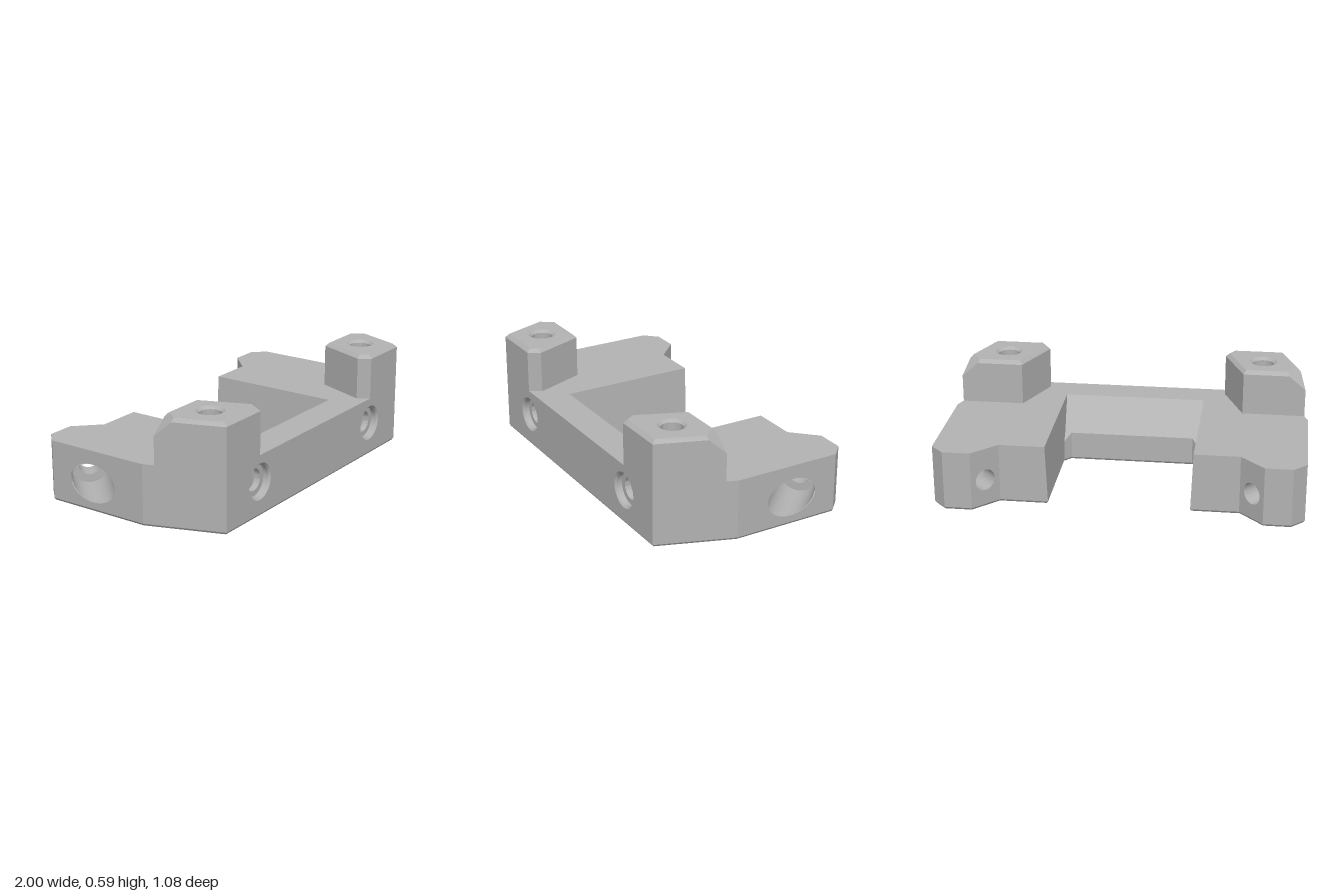
import * as THREE from 'three';
import { toCreasedNormals } from 'three/addons/utils/BufferGeometryUtils.js';

const TOP = 0.335, LIP = 0.012;
const grey = new THREE.MeshStandardMaterial({ color: 0xb2b2b2, side: THREE.DoubleSide });
grey.name = 'plain grey';

function add(parent, name, geometry) {
  const mesh = new THREE.Mesh(geometry, grey);
  mesh.name = name;
  parent.add(mesh);
  return mesh;
}

// Shape from 2D points with elliptical holes [x, y, rx, ry]
function outline(points, holes = []) {
  const shape = new THREE.Shape(points.map(p => new THREE.Vector2(p[0], p[1])));
  for (const [x, y, rx, ry = rx] of holes) {
    shape.holes.push(new THREE.Path().absellipse(x, y, rx, ry, 0, Math.PI * 2, true));
  }
  return shape;
}

// Flat horizontal face from [x, z] points
function cap(points, y, holes) {
  return new THREE.ShapeGeometry(outline(points, holes), 24).rotateX(Math.PI / 2).translate(0, y, 0);
}

// Upright wall from a to b ([x, z]); holes are [distance along, y, radii]
function wall(a, b, y0, y1, holes) {
  const u = new THREE.Vector3(b[0] - a[0], 0, b[1] - a[1]);
  const length = u.length();
  u.normalize();
  const up = new THREE.Vector3(0, 1, 0);
  const m = new THREE.Matrix4().makeBasis(u, up, u.clone().cross(up)).setPosition(a[0], 0, a[1]);
  const shape = outline([[0, y0], [length, y0], [length, y1], [0, y1]], holes);
  return new THREE.ShapeGeometry(shape, 24).applyMatrix4(m);
}

// Flat convex faces, each a list of [x, y, z] corners
function faces(list) {
  const pos = [];
  for (const f of list) {
    for (let i = 1; i < f.length - 1; i++) pos.push(...f[0], ...f[i], ...f[i + 1]);
  }
  const g = new THREE.BufferGeometry();
  g.setAttribute('position', new THREE.Float32BufferAttribute(pos, 3));
  g.computeVertexNormals();
  return g;
}

// Round bore from [radius, distance] points
function bore(profile) {
  return new THREE.LatheGeometry(profile.map(p => new THREE.Vector2(p[0], p[1])), 48);
}

// Shrinks a closed loop of [x, z] points by d
function inset(loop, d) {
  const n = loop.length;
  return loop.map((p, i) => {
    const [a, b] = [loop[(i + n - 1) % n], loop[(i + 1) % n]];
    const normal = (s, e) => {
      const l = Math.hypot(e[0] - s[0], e[1] - s[1]);
      return [(e[1] - s[1]) / l, -(e[0] - s[0]) / l];
    };
    const [n1, n2] = [normal(a, p), normal(p, b)];
    const k = d / (1 + n1[0] * n2[0] + n1[1] * n2[1]);
    return [p[0] + (n1[0] + n2[0]) * k, p[1] + (n1[1] + n2[1]) * k];
  });
}

const mirrored = half => [...half, ...half.map(([x, z]) => [-x, z]).reverse()];

const outer = [[0.85, 0.54], [1, 0.13], [1, -0.47], [0.93, -0.54], [0.78, -0.54], [0.65, -0.41]];
const postHole = [0.735, 0.36], boltX = 0.555, boltY = 0.19;
const slot = { x0: 0.455, x1: 0.655, z0: 0.425, z1: 0.465, top: 0.29 };

function buildSide() {
  const side = new THREE.Group();

  // Outer walls of the arm
  const wallHoles = { 1: [[0.33, 0.155, 0.148, 0.105]], 4: [[0.092, 0.155, 0.06]] };
  for (let i = 0; i < outer.length - 1; i++) {
    add(side, 'armWall', wall(outer[i], outer[i + 1], LIP, TOP, wallHoles[i]));
  }
  // Back end and drafted inner wall
  add(side, 'armInnerWall', faces([
    [[0.65, LIP, -0.41], [0.387, LIP, -0.41], [0.4, TOP, -0.41], [0.65, TOP, -0.41]],
    [[0.387, LIP, -0.41], [0.387, LIP, 0.36], [0.4, TOP, 0.36], [0.4, TOP, -0.41]],
  ]));
  // Corner fillet between arm and bar
  add(side, 'cornerFillet', faces([
    [[0.387, LIP, 0.15], [0.35, LIP, 0.19], [0.35, 0.165, 0.19], [0.387, 0.125, 0.15]],
    [[0.387, 0.125, 0.15], [0.35, 0.165, 0.19], [0.387, 0.165, 0.19]],
  ]));

  // Post with bevelled rim and a cut outer back corner
  const base = [[0.978, 0.19], [0.85, 0.54], [0.555, 0.54], [0.515, 0.475], [0.63, 0.19]];
  const rim = [[0.947, 0.275], ...base.slice(1), [0.885, 0.19]];
  const crown = [[0.928, 0.28], [0.836, 0.52], [0.566, 0.52], [0.537, 0.473], [0.643, 0.21], [0.876, 0.21]];
  const at = (p, y) => [p[0], y, p[1]];
  const low = at(base[0], 0.49), R = rim.map(p => at(p, 0.57)), C = crown.map(p => at(p, 0.59));
  const B = base.map(p => at(p, TOP));
  const post = [
    [B[0], B[1], R[1], R[0], low],
    [B[4], B[0], low, R[5], R[4]],
    [low, R[0], C[0], C[5], R[5]],
  ];
  for (let i = 1; i < 4; i++) post.push([B[i], B[i + 1], R[i + 1], R[i]]);
  for (let i = 0; i < 5; i++) post.push([R[i], R[i + 1], C[i + 1], C[i]]);
  add(side, 'post', faces(post));
  add(side, 'postTop', cap(crown, 0.59, [[...postHole, 0.075]]));
  add(side, 'postBore', toCreasedNormals(bore([[0.06, 0], [0.06, 0.575], [0.075, 0.59]]), 0.5))
    .position.set(postHole[0], 0, postHole[1]);

  // Diagonal stepped bore through the arm, trimmed to the outer wall
  const axis = new THREE.Vector3(1, 0, 1).normalize();
  const turn = new THREE.Quaternion().setFromUnitVectors(new THREE.Vector3(0, 1, 0), axis);
  const diagonal = bore([[0.06, 0], [0.06, 0.108], [0.105, 0.108], [0.105, 0.4]]);
  const pos = diagonal.attributes.position, v = new THREE.Vector3();
  for (let i = 0; i < pos.count; i++) {
    const atMouth = pos.getY(i) > 0.3;
    v.fromBufferAttribute(pos, i).applyQuaternion(turn).add(new THREE.Vector3(0.715, 0.155, -0.475));
    if (atMouth) v.addScaledVector(axis, (1 - v.x) / axis.x);
    pos.setXYZ(i, v.x, v.y, v.z);
  }
  add(side, 'diagonalBore', toCreasedNormals(diagonal, 0.5));

  // Front bolt bore, in front of and behind the nut slot
  const frontBore = [[0.1, 0.54], [0.09, 0.53], [0.09, 0.5], [0.06, 0.5], [0.06, slot.z1]];
  const backBore = [[0.06, slot.z0], [0.06, 0.3], [0, 0.3]];
  for (const profile of [frontBore, backBore]) {
    const g = toCreasedNormals(bore(profile).rotateX(Math.PI / 2), 0.5);
    add(side, 'boltBore', g).position.set(boltX, boltY, 0);
  }

  // Nut slot open at the bottom
  const { x0, x1, z0, z1, top } = slot;
  for (const z of [z0, z1]) {
    add(side, 'nutSlotWall', wall([x0, z], [x1, z], 0, top, [[boltX - x0, boltY, 0.06]]));
  }
  for (const x of [x0, x1]) add(side, 'nutSlotEnd', wall([x, z0], [x, z1], 0, top));
  add(side, 'nutSlotTop', cap([[x0, z0], [x1, z0], [x1, z1], [x0, z1]], top));
  return side;
}

export function createModel() {
  const model = new THREE.Group();
  model.name = 'mountingBracket';

  // Two mirrored arms with posts
  for (const s of [1, -1]) {
    const side = buildSide();
    side.name = s > 0 ? 'leftArm' : 'rightArm';
    side.scale.x = s;
    model.add(side);
  }

  // Front wall and top face
  const bothHoles = [[postHole[0], postHole[1], 0.06], [-postHole[0], postHole[1], 0.06]];
  add(model, 'frontWall', wall([-0.85, 0.54], [0.85, 0.54], LIP, TOP,
    [[0.85 - boltX, boltY, 0.1], [0.85 + boltX, boltY, 0.1]]));
  add(model, 'topFace', cap(mirrored([...outer, [0.4, -0.41], [0.4, 0.36]]), TOP, bothHoles));

  // Bottom face with a small bevel all round
  const foot = mirrored([...outer, [0.387, -0.41], [0.387, 0.15], [0.35, 0.19]]);
  const sole = inset(foot, 0.008);
  const floor = outline(sole, bothHoles);
  for (const s of [1, -1]) {
    const { x0, x1, z0, z1 } = slot;
    floor.holes.push(new THREE.Path([[x0, z0], [x0, z1], [x1, z1], [x1, z0]]
      .map(([x, z]) => new THREE.Vector2(s * x, z))));
  }
  add(model, 'bottomFace', new THREE.ShapeGeometry(floor, 24).rotateX(Math.PI / 2));
  add(model, 'bottomBevel', faces(foot.map((p, i) => {
    const j = (i + 1) % foot.length;
    return [[sole[i][0], 0, sole[i][1]], [sole[j][0], 0, sole[j][1]],
      [foot[j][0], LIP, foot[j][1]], [p[0], LIP, p[1]]];
  })));

  // Sloped and upright back of the cross bar
  add(model, 'barBack', faces([
    [[-0.4, TOP, 0.36], [0.4, TOP, 0.36], [0.387, 0.165, 0.19], [-0.387, 0.165, 0.19]],
    [[-0.35, 0.165, 0.19], [0.35, 0.165, 0.19], [0.35, LIP, 0.19], [-0.35, LIP, 0.19]],
  ]));
  return model;
}
